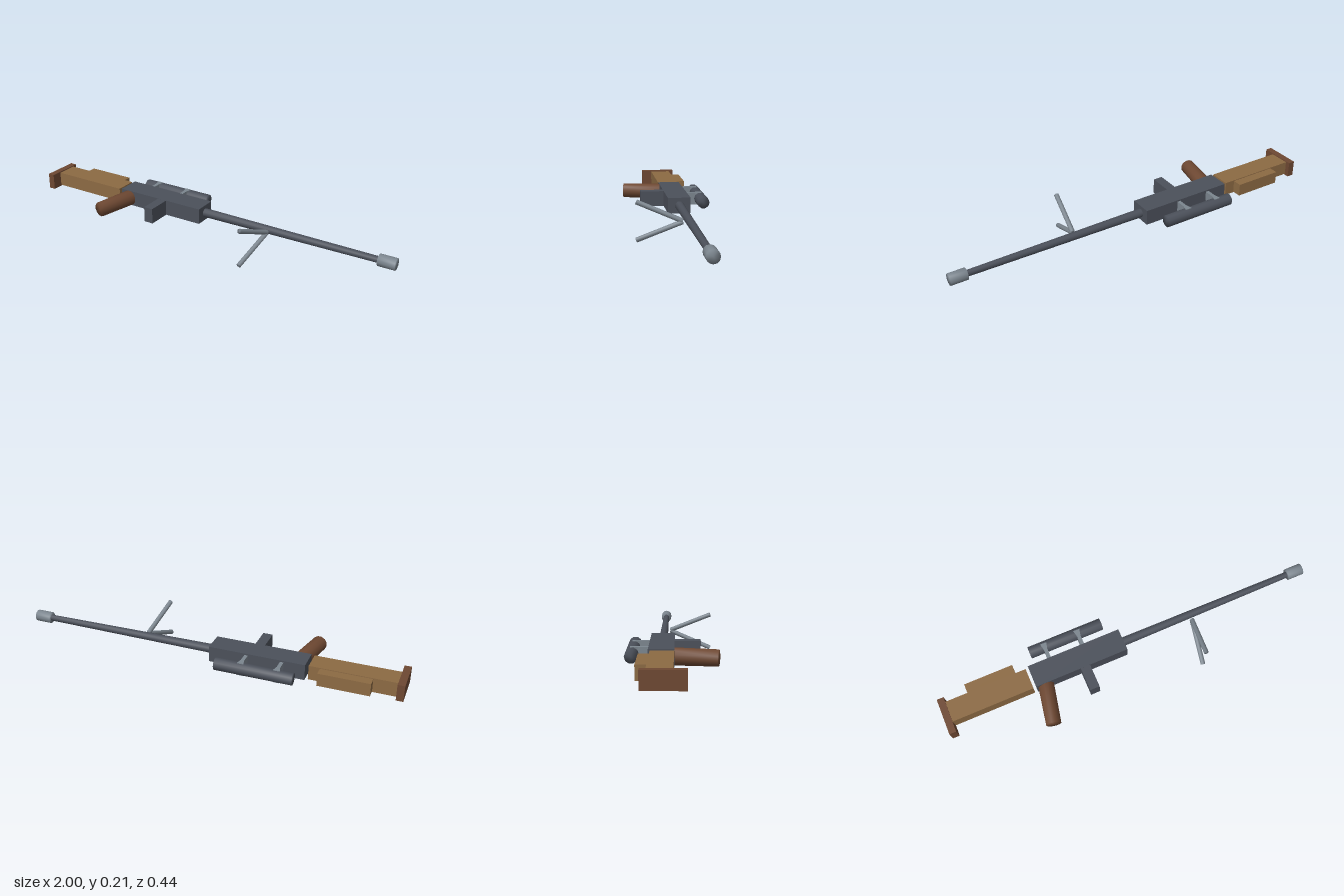
import * as THREE from 'three';
import { mergeVertices } from 'three/addons/utils/BufferGeometryUtils.js';

const mat = (name, color) => {
  const m = new THREE.MeshStandardMaterial({ color });
  m.name = name;
  return m;
};

export function createModel() {
  const model = new THREE.Group();
  model.name = 'rifle';
  const gunmetal = mat('gunmetal', 0x4b505a);
  const steel = mat('steel', 0x7c868f);
  const wood = mat('wood', 0x8c6a43);
  const darkWood = mat('darkWood', 0x6e4832);
  const Y = 0.104; // mid height of the rifle lying on its side

  const add = (name, geometry, material) => {
    const mesh = new THREE.Mesh(geometry, material);
    mesh.name = name;
    model.add(mesh);
    return mesh;
  };

  // Block between x and z limits, centred on the mid height
  const block = (name, material, x0, x1, z0, z1, height) =>
    add(name, new THREE.BoxGeometry(x1 - x0, height, z1 - z0), material)
      .position.set((x0 + x1) / 2, Y, (z0 + z1) / 2);

  // Softly shaded rod from a to b, with a radius at each end
  const rod = (name, material, a, b, ra, rb, sides) => {
    const from = new THREE.Vector3(...a), to = new THREE.Vector3(...b);
    const dir = to.clone().sub(from);
    let geometry = new THREE.CylinderGeometry(rb, ra, dir.length(), sides);
    geometry.deleteAttribute('normal');
    geometry.deleteAttribute('uv');
    geometry = mergeVertices(geometry);
    geometry.computeVertexNormals();
    const mesh = add(name, geometry, material);
    mesh.position.copy(from).add(to).multiplyScalar(0.5);
    mesh.quaternion.setFromUnitVectors(new THREE.Vector3(0, 1, 0), dir.normalize());
  };

  // Stock
  block('buttPlate', darkWood, -1, -0.965, -0.125, 0.066, 0.084);
  block('stock', wood, -0.965, -0.54, -0.1, 0.01, 0.074);
  block('cheekRest', wood, -0.85, -0.595, -0.149, -0.1, 0.066);

  // Body
  block('receiver', gunmetal, -0.525, -0.03, -0.108, 0.01, 0.082);
  block('magazine', gunmetal, -0.285, -0.235, 0.01, 0.134, 0.081);
  rod('grip', darkWood, [-0.475, Y, 0.005], [-0.515, Y, 0.21], 0.0415, 0.039, 12);

  // Barrel
  rod('barrel', gunmetal, [-0.03, Y, -0.05], [0.92, Y, -0.05], 0.023, 0.016, 12);
  rod('muzzle', steel, [0.915, Y, -0.05], [1, Y, -0.05], 0.03, 0.03, 12);

  // Scope on two flared mounts
  rod('scope', gunmetal, [-0.49, Y, -0.186], [-0.095, Y, -0.186], 0.032, 0.032, 10);
  const outline = new THREE.Shape([
    [-0.009, 0.106], [0.009, 0.106], [0.009, 0.16], [0.017, 0.194], [-0.017, 0.194], [-0.009, 0.16],
  ].map(([x, y]) => new THREE.Vector2(x, y)));
  for (const x of [-0.409, -0.227]) {
    const mount = add('scopeMount', new THREE.ExtrudeGeometry(outline, { depth: 0.067, bevelEnabled: false }), steel);
    mount.rotation.x = -Math.PI / 2;
    mount.position.set(x, Y - 0.0335, 0);
    // Shape y turns into -z, extrusion into +y
  }

  // Bipod
  for (const side of [-1, 1]) {
    rod('bipodLeg', steel, [0.347, Y + side * 0.002, -0.017], [0.316, Y + side * 0.092, 0.2], 0.012, 0.012, 12);
  }
  return model;
}
